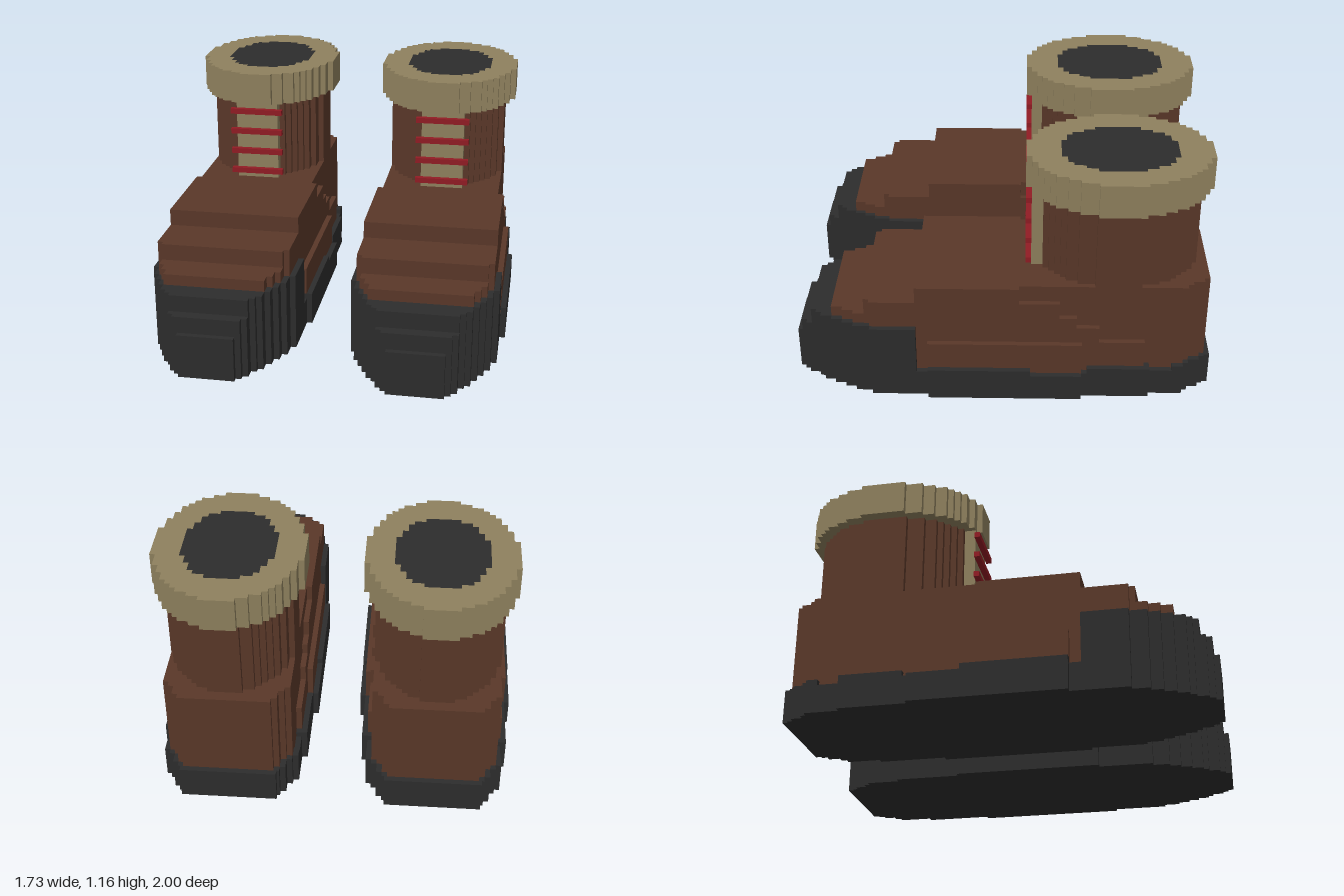
import * as THREE from 'three';

// All lengths are in blocks; the boots are 74 blocks long (37 blocks = 1 unit)
const BLOCK = 1 / 37;

function material(name, color) {
  const m = new THREE.MeshStandardMaterial({ color });
  m.name = name;
  return m;
}

// Stepped plan outline: one row per block along z, half-width from a rule
function outline(half, z0, z1, Kind = THREE.Shape) {
  const side = [];
  for (let z = z0; z < z1; z++) {
    const w = half(z);
    if (z === z0 || w !== half(z - 1)) {
      if (z > z0) side.push([half(z - 1), z]);
      side.push([w, z]);
    }
  }
  side.push([half(z1 - 1), z1]);
  const right = side.map(([x, z]) => new THREE.Vector2(x, -z));
  const left = side.map(([x, z]) => new THREE.Vector2(-x, -z)).reverse();
  return new Kind([...right, ...left]);
}

// Raise an outline from height y0 to y1
function slab(shape, y0, y1) {
  const g = new THREE.ExtrudeGeometry(shape, { depth: y1 - y0, bevelEnabled: false });
  return g.rotateX(-Math.PI / 2).translate(0, y0, 0);
}

// Plan of the sole: [last row, half-width] going out from the middle
const FRONT = [[13, 14], [23, 13], [26, 12], [28, 11], [30, 10], [32, 9], [33, 8], [35, 7], [36, 6], [37, 5]];
const BACK = [[14, 14], [26, 13], [32, 12], [33, 11], [35, 10], [36, 9], [37, 8.5]];
const soleHalf = (z) => (z >= 0
  ? FRONT.find(([end]) => z < end)[1]
  : BACK.find(([end]) => -z <= end)[1]);

// Oval leg plan, centred on z = -20
const oval = (a, b) => (z) =>
  Math.max(1, Math.round(a * Math.sqrt(Math.max(0, 1 - ((z + 20.5) / b) ** 2))));

export function createModel() {
  const leather = material('brown leather', 0x5a3829);
  const rubber = material('dark rubber', 0x2d2d2d);
  const fleece = material('tan lining', 0x8f815e);
  const red = material('red lace', 0x921c24);

  function createBoot(name) {
    const boot = new THREE.Group();
    boot.name = name;
    const add = (part, geometry, mat) => {
      const mesh = new THREE.Mesh(geometry, mat);
      mesh.name = part;
      boot.add(mesh);
    };

    // Sole with a raised rim in three stretches
    add('sole', slab(outline(soleHalf, -37, 37), 0, 5), rubber);
    for (const [z0, z1] of [[-37, -30], [-26, -15], [-5, 13]]) {
      add('soleRim', slab(outline(soleHalf, z0, z1), 5, 6), rubber);
    }

    // Toe cap, stepping back as it rises
    const capHalf = (z) => Math.min(13, soleHalf(z));
    for (const [y0, y1, front] of [[5, 8, 37], [8, 11, 36], [11, 14, 34]]) {
      add('toeCap', slab(outline(capHalf, 15, front), y0, y1), rubber);
    }

    // Stepped foot: y0, y1, front row, widest half-width, row where the heel narrows
    const tiers = [
      [5, 11, 15, 13, -25],
      [11, 14, 15, 12, -17],
      [14, 16, 30, 12, -13],
      [16, 19, 24, 12, -10],
      [19, 22, 15, 12, -3],
    ];
    for (const [y0, y1, front, widest, heel] of tiers) {
      const half = (z) => {
        const limit = z < heel ? 11 : z < -16 ? 12 : widest;
        return Math.min(limit, soleHalf(z) - 1);
      };
      add('foot', slab(outline(half, -36, front), y0, y1), leather);
    }

    // Leg and fleece cuff with its dark opening
    add('shaft', slab(outline(oval(11, 14), -34, -6), 22, 37), leather);
    const cuff = outline(oval(13, 16), -36, -4);
    cuff.holes.push(outline(oval(8, 10.5), -30, -10, THREE.Path));
    add('cuff', slab(cuff, 37, 43), fleece);
    add('opening', slab(outline(oval(8, 10.5), -30, -10), 37, 43), rubber);

    // Tongue and laces
    add('tongue', new THREE.BoxGeometry(8, 15, 3).translate(0, 29.5, -6.5), fleece);
    for (let i = 0; i < 4; i++) {
      add('lace', new THREE.BoxGeometry(10, 1, 1).translate(0, 23.5 + i * 4, -4.5), red);
    }

    boot.scale.setScalar(BLOCK);
    return boot;
  }

  const model = new THREE.Group();
  model.name = 'boots';
  for (const [name, side] of [['leftBoot', 1], ['rightBoot', -1]]) {
    const boot = createBoot(name);
    boot.position.x = side * 18 * BLOCK;
    model.add(boot);
  }
  return model;
}
